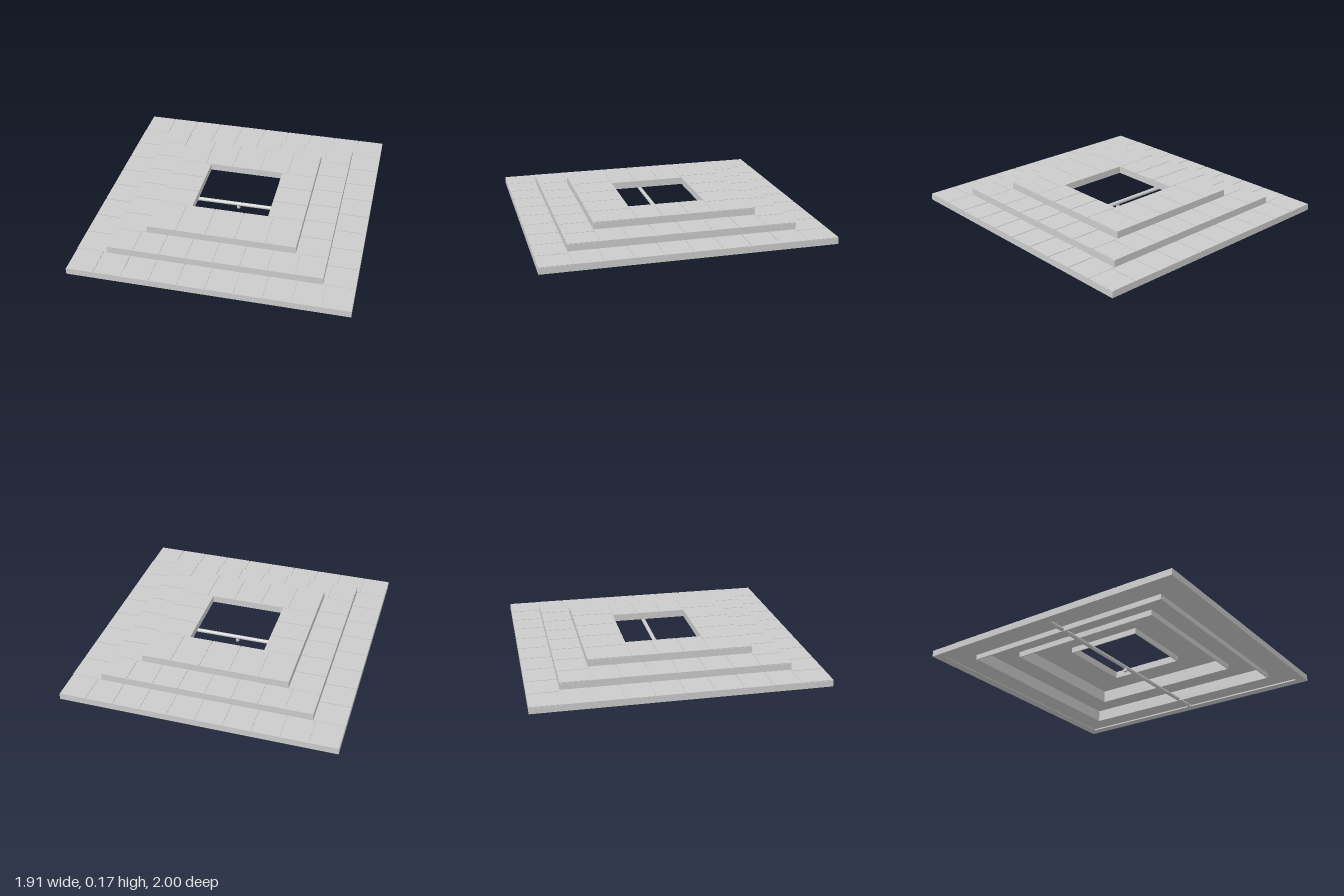
import * as THREE from 'three';

const material = new THREE.MeshStandardMaterial({ color: 0xcccccc, flatShading: true });

function add(parent, name, geometry, x = 0, y = 0, z = 0) {
  const mesh = new THREE.Mesh(geometry, material);
  mesh.name = name;
  mesh.position.set(x, y, z);
  parent.add(mesh);
  return mesh;
}

function rectangle(Type, w, d) {
  return new Type([[-w, -d], [w, -d], [w, d], [-w, d]].map(([x, y]) => new THREE.Vector2(x, y)));
}

// Flat rectangular frame between two outlines (half sizes), from y0 to y1
function frame(parent, name, [ow, od], [iw, id], y0, y1) {
  const shape = rectangle(THREE.Shape, ow, od);
  shape.holes.push(rectangle(THREE.Path, iw, id));
  const geometry = new THREE.ExtrudeGeometry(shape, { depth: y1 - y0, bevelEnabled: false });
  geometry.rotateX(-Math.PI / 2);
  add(parent, name, geometry, 0, y0, 0);
}

// Row of paving slabs filling a rectangle, split along its long side by narrow joints
function pavingRow(parent, x0, x1, z0, z1, y, thick) {
  const gap = 0.006, w = x1 - x0, d = z1 - z0;
  const alongX = w > d;
  const count = Math.max(1, Math.round(Math.max(w, d) / 0.19));
  const sx = alongX ? w / count : w;
  const sz = alongX ? d : d / count;
  for (let i = 0; i < count; i++) {
    const x = alongX ? x0 + (i + 0.5) * sx : (x0 + x1) / 2;
    const z = alongX ? (z0 + z1) / 2 : z0 + (i + 0.5) * sz;
    // Joints lie only between neighbours, so the outer edges stay flush
    add(parent, 'pavingSlab', new THREE.BoxGeometry(
      alongX ? sx - gap : sx, thick, alongX ? sz : sz - gap), x, y - thick / 2, z);
  }
}

export function createModel() {
  const model = new THREE.Group();
  model.name = 'steppedPlatform';

  const wall = 0.008, slab = 0.005, sheet = 0.005;
  const outlines = [[0.955, 1], [0.74, 0.783], [0.522, 0.57], [0.272, 0.272]];
  const bottoms = [0.02, 0.02, 0.067];
  const tops = [0.067, 0.117, 0.168];

  // Three hollow steps: thin riser, tread sheet and paving
  for (let i = 0; i < 3; i++) {
    const step = new THREE.Group();
    step.name = 'step' + (i + 1);
    model.add(step);
    const outer = outlines[i], inner = outlines[i + 1], top = tops[i];
    const [ow, od] = outer, [iw, id] = inner;
    frame(step, 'riser', outer, [ow - wall, od - wall], bottoms[i], top - slab);
    frame(step, 'treadSheet', outer, inner, top - slab - sheet, top - slab);
    for (const s of [-1, 1]) {
      const za = s > 0 ? id : -od, zb = s > 0 ? od : -id;
      const xa = s > 0 ? iw : -ow, xb = s > 0 ? ow : -iw;
      pavingRow(step, -ow, ow, za, zb, top, slab);
      pavingRow(step, xa, xb, -id, id, top, slab);
    }
  }

  // Inward flange under the lowest step and collar around the opening
  frame(model, 'baseFlange', outlines[0], [0.89, 0.935], 0.02, 0.026);
  frame(model, 'openingCollar', [0.28, 0.28], outlines[3], 0.117, 0.163);

  // Cross rod beneath the platform with a small central peg
  const rod = add(model, 'crossRod', new THREE.CylinderGeometry(0.014, 0.014, 1.89, 12), 0, 0.034, 0);
  rod.rotation.z = Math.PI / 2;
  add(model, 'centralPeg', new THREE.CylinderGeometry(0.013, 0.013, 0.034, 12), 0, 0.017, 0);

  return model;
}
